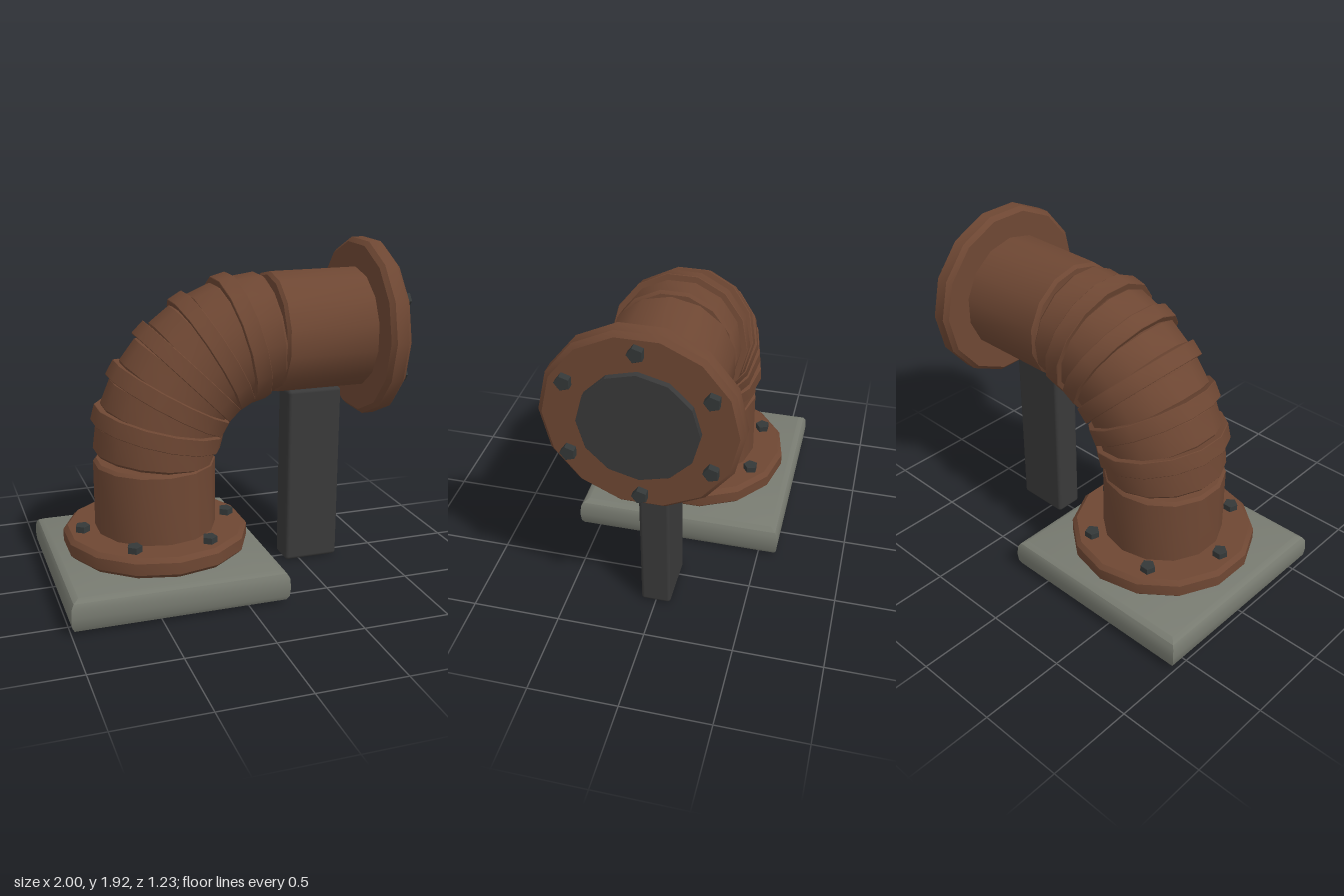
import * as THREE from 'three';
import { toCreasedNormals } from 'three/addons/utils/BufferGeometryUtils.js';
import { RoundedBoxGeometry } from 'three/addons/geometries/RoundedBoxGeometry.js';

const material = (name, color) => {
  const m = new THREE.MeshStandardMaterial({ color });
  m.name = name;
  return m;
};

// Closed solid of revolution with crisp edges between steep faces
function lathe(profile, sides, turn = 0) {
  const points = profile.map(([r, y]) => new THREE.Vector2(r, y));
  const g = new THREE.LatheGeometry(points, sides).rotateY(turn);
  return toCreasedNormals(g, Math.PI / 6);
}

// Chamfered cylinder centred on its own axis
function drum(radius, length, chamfer, sides = 14, turn = 0) {
  const h = length / 2, r = radius - chamfer;
  return lathe([[0, -h], [r, -h], [radius, chamfer - h], [radius, h - chamfer], [r, h], [0, h]], sides, turn);
}

export function createModel() {
  const model = new THREE.Group();
  model.name = 'pipeElbow';
  const rust = material('rustBrown', 0x6e4733);
  const dark = material('darkIron', 0x393939);
  const boltMetal = material('boltSteel', 0x343838);
  const concrete = material('concreteGrey', 0x777a70);

  const add = (name, geometry, mat, x, y, tilt = 0, parent = model) => {
    const mesh = new THREE.Mesh(geometry, mat);
    mesh.name = name;
    mesh.position.set(x, y, 0);
    mesh.rotation.z = -tilt;
    parent.add(mesh);
    return mesh;
  };

  const pipeX = -0.3825, pipeY = 1.414;
  const bendX = 0.296, bendY = 0.735, bendR = 0.679;

  // Square base slab with rounded rims
  const slab = [[0, 0], [0.565, 0.004], [0.597, 0.02], [0.61, 0.045], [0.615, 0.1],
    [0.61, 0.155], [0.597, 0.178], [0.565, 0.195], [0, 0.2]]
    .map(([r, y]) => [r * Math.SQRT2, y]);
  add('baseSlab', lathe(slab, 4, Math.PI / 4), concrete, -0.385, 0);

  // Support post under the level pipe
  add('supportPost', new RoundedBoxGeometry(0.33, 1.07, 0.17, 2, 0.02), dark, 0.575, 0.535);

  // Straight pipes
  add('uprightPipe', drum(0.35, 0.435, 0.018), rust, pipeX, 0.5175);
  add('levelPipe', drum(0.35, 0.565, 0.018, 14, Math.PI / 2), rust, 0.5775, pipeY, Math.PI / 2);

  // Bend: six short sections with five raised bands over the joints
  const onBend = (name, geometry, degrees) => {
    const a = THREE.MathUtils.degToRad(degrees);
    add(name, geometry, rust, bendX - bendR * Math.cos(a), bendY + bendR * Math.sin(a), a);
  };
  const section = drum(0.347, 0.178, 0.016);
  const band = drum(0.38, 0.095, 0.003);
  for (let i = 0; i < 6; i++) onBend('bendSection', section, 7.5 + 15 * i);
  for (let i = 1; i < 6; i++) onBend('bendBand', band, 15 * i);

  // Flanges, each with a ring of six bolts
  const boltGeometry = drum(0.043, 0.05, 0.002, 5);
  function flange(name, radius, thickness, boltRadius, x, y, tilt) {
    const group = new THREE.Group();
    group.name = name;
    group.position.set(x, y, 0);
    group.rotation.z = -tilt;
    add('flangeRing', drum(radius, thickness, 0.025), rust, 0, 0, 0, group);
    for (let i = 0; i < 6; i++) {
      const a = i * Math.PI / 3;
      const bolt = add('bolt', boltGeometry, boltMetal, boltRadius * Math.cos(a), thickness / 2 + 0.013, 0, group);
      bolt.position.z = boltRadius * Math.sin(a);
    }
    model.add(group);
  }
  flange('baseFlange', 0.535, 0.118, 0.43, pipeX, 0.267, 0);
  flange('endFlange', 0.52, 0.122, 0.42, 0.901, pipeY, Math.PI / 2);

  // Dark cap closing the pipe mouth
  add('endCap', drum(0.311, 0.05, 0.001, 12), dark, 0.97, pipeY, Math.PI / 2);

  return model;
}
